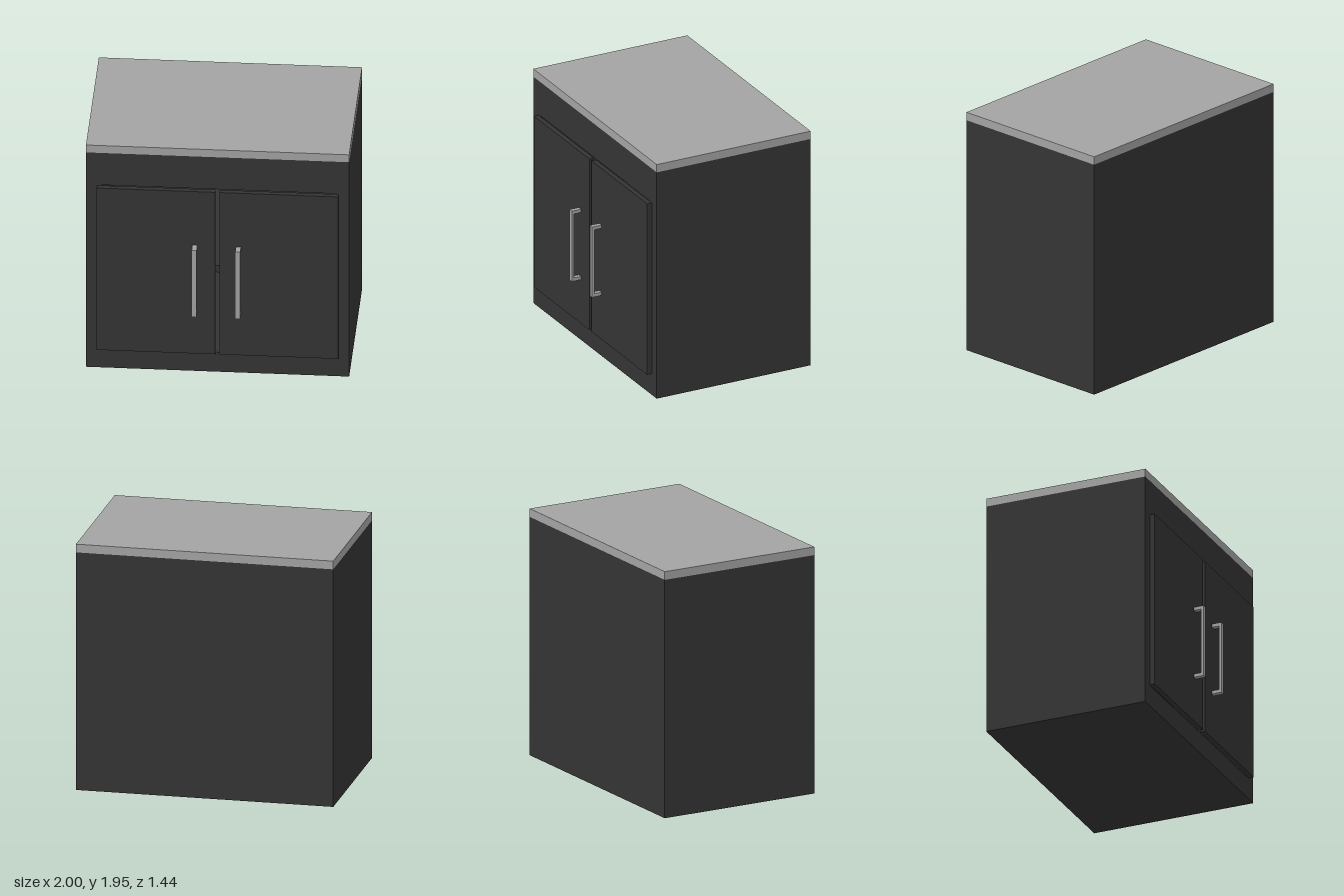
import * as THREE from 'three';

export function createModel() {
  const model = new THREE.Group();
  model.name = 'cabinet';
  const charcoal = new THREE.MeshStandardMaterial({ color: 0x343434 });
  charcoal.name = 'charcoal';
  const grey = new THREE.MeshStandardMaterial({ color: 0xa3a3a3 });
  grey.name = 'grey';

  // Box given by its lower and upper corners
  function box(name, material, [x0, y0, z0], [x1, y1, z1], parent = model) {
    const mesh = new THREE.Mesh(new THREE.BoxGeometry(x1 - x0, y1 - y0, z1 - z0), material);
    mesh.position.set((x0 + x1) / 2, (y0 + y1) / 2, (z0 + z1) / 2);
    mesh.name = name;
    parent.add(mesh);
  }

  function rectangle(PathType, x, y0, y1) {
    return new PathType([[-x, y0], [x, y0], [x, y1], [-x, y1]].map(([a, b]) => new THREE.Vector2(a, b)));
  }

  // Hollow carcass with its door opening
  const outline = rectangle(THREE.Shape, 1, 0, 1.88);
  outline.holes.push(rectangle(THREE.Path, 0.88, 0.17, 1.6));
  const carcass = new THREE.Mesh(
    new THREE.ExtrudeGeometry(outline, { depth: 1.26, bevelEnabled: false }), charcoal);
  carcass.position.z = -0.66;
  carcass.name = 'carcass';
  model.add(carcass);
  box('backPanel', charcoal, [-1, 0, -0.72], [1, 1.88, -0.66]);
  box('shelf', charcoal, [-0.88, 0.86, -0.66], [0.88, 0.92, 0.58]);

  // Worktop
  box('worktop', grey, [-1, 1.88, -0.72], [1, 1.945, 0.6]);

  // Doors
  box('rightDoor', charcoal, [-0.915, 0.175, 0.6], [-0.015, 1.595, 0.64]);
  box('leftDoor', charcoal, [0.018, 0.175, 0.6], [0.92, 1.595, 0.64]);

  // Handles: an upright bar on two posts
  for (const [name, x] of [['rightHandle', -0.188], ['leftHandle', 0.143]]) {
    const handle = new THREE.Group();
    handle.name = name;
    const w = x + 0.038;
    box('bar', grey, [x, 0.54, 0.7], [w, 1.125, 0.72], handle);
    box('lowerPost', grey, [x, 0.54, 0.64], [w, 0.567, 0.7], handle);
    box('upperPost', grey, [x, 1.098, 0.64], [w, 1.125, 0.7], handle);
    model.add(handle);
  }
  return model;
}
